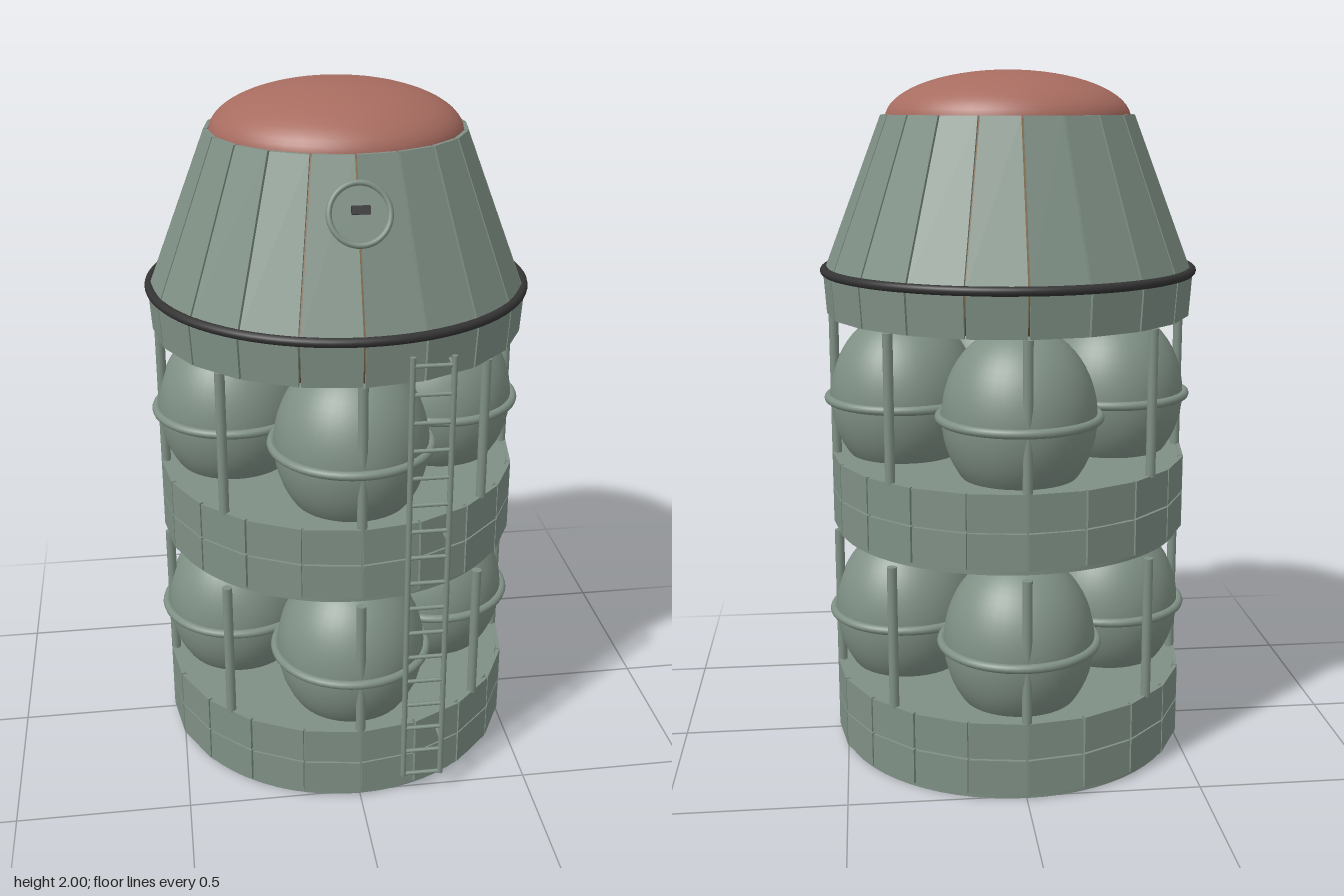
import * as THREE from 'three';

const SIDES = 20;
const STEP = (Math.PI * 2) / SIDES;

function makeMaterial(name, color, extra = {}) {
  const m = new THREE.MeshStandardMaterial({ color, ...extra });
  m.name = name;
  return m;
}

export function createModel() {
  const root = new THREE.Group();
  root.name = 'tankTower';
  const green = makeMaterial('greyGreen', 0x7f9085);
  const red = makeMaterial('domeRed', 0xa86c60);
  const dark = makeMaterial('darkRubber', 0x343434);
  const brown = makeMaterial('brownCore', 0x7d6240, { side: THREE.DoubleSide });

  function add(parent, name, geometry, material, x = 0, y = 0, z = 0) {
    const mesh = new THREE.Mesh(geometry, material);
    mesh.name = name;
    mesh.position.set(x, y, z);
    parent.add(mesh);
    return mesh;
  }
  function group(name, parent = root) {
    const g = new THREE.Group();
    g.name = name;
    parent.add(g);
    return g;
  }

  // A box bent into one flat wall panel between two heights and radii
  function panelGeometry(r0, y0, r1, y1, thickness = 0.012, gap = 0.003) {
    const geo = new THREE.BoxGeometry(1, 1, 1);
    const p = geo.attributes.position;
    for (let i = 0; i < p.count; i++) {
      const top = p.getY(i) > 0;
      const r = (top ? r1 : r0) - (p.getZ(i) > 0 ? 0 : thickness);
      const a = Math.sign(p.getX(i)) * (STEP / 2 - gap / r);
      p.setXYZ(i, r * Math.sin(a), top ? y1 : y0, r * Math.cos(a));
    }
    geo.computeVertexNormals();
    return geo;
  }
  function panelRing(parent, name, ...size) {
    const ring = group(name, parent);
    const geo = panelGeometry(...size);
    for (let i = 0; i < SIDES; i++) {
      add(ring, 'panel', geo, green).rotation.y = (i + 0.5) * STEP;
    }
  }

  // Two identical stages: panelled drum, four tanks, eight posts
  const tankGeo = new THREE.SphereGeometry(0.218, 40, 28).scale(1, 1.175, 1);
  const bandGeo = new THREE.TorusGeometry(0.224, 0.013, 10, 48).rotateX(Math.PI / 2);
  const postGeo = new THREE.CylinderGeometry(0.014, 0.014, 0.42, 12);
  const coreGeo = new THREE.CylinderGeometry(0.513, 0.513, 0.228, 64);

  function buildStage(name, baseY) {
    const stage = group(name);
    stage.position.y = baseY;
    add(stage, 'drumCore', coreGeo, green, 0, 0.114, 0);
    panelRing(stage, 'lowerDrumPanels', 0.528, 0.016, 0.528, 0.119);
    panelRing(stage, 'upperDrumPanels', 0.528, 0.124, 0.528, 0.23);
    for (let i = 0; i < 4; i++) {
      const a = (i * Math.PI) / 2;
      const x = 0.31 * Math.sin(a), z = 0.31 * Math.cos(a);
      add(stage, 'tank', tankGeo, green, x, 0.397, z);
      add(stage, 'tankBand', bandGeo, green, x, 0.397, z);
    }
    for (let i = 0; i < 8; i++) {
      const a = (i * Math.PI) / 4;
      add(stage, 'post', postGeo, green, 0.514 * Math.sin(a), 0.435, 0.514 * Math.cos(a));
    }
  }
  buildStage('lowerStage', 0);
  buildStage('upperStage', 0.66);

  // Conical cabin: brown inner shell seen through the seams, outer panels
  const cabin = group('cabin');
  const profile = [
    [0, 1.315], [0.517, 1.315], [0.524, 1.42], [0.518, 1.44], [0.35, 1.868], [0, 1.868],
  ].map(([x, y]) => new THREE.Vector2(x, y));
  add(cabin, 'cabinCore', new THREE.LatheGeometry(profile, SIDES), brown);
  panelRing(cabin, 'skirtPanels', 0.532, 1.308, 0.54, 1.425);
  panelRing(cabin, 'conePanels', 0.536, 1.435, 0.366, 1.875);
  add(cabin, 'bumperRing',
    new THREE.TorusGeometry(0.536, 0.013, 12, 80).rotateX(Math.PI / 2), dark, 0, 1.435, 0);

  // Flattened dome on top
  const domeGeo = new THREE.SphereGeometry(0.353, 48, 16, 0, Math.PI * 2, 0, Math.PI / 2);
  add(cabin, 'dome', domeGeo.scale(1, 0.136 / 0.353, 1), red, 0, 1.864, 0);

  // Round hatch lying on the front slope
  const hatch = group('hatch');
  hatch.position.set(0, 1.735, 0.42);
  hatch.rotation.x = -Math.atan2(0.17, 0.44);
  add(hatch, 'hatchDisc', new THREE.CylinderGeometry(0.078, 0.078, 0.03, 40).rotateX(Math.PI / 2), green);
  add(hatch, 'hatchRim', new THREE.TorusGeometry(0.079, 0.008, 10, 48), green, 0, 0, 0.014);
  add(hatch, 'handleStem', new THREE.BoxGeometry(0.016, 0.012, 0.024), dark, 0, 0.008, 0.024);
  add(hatch, 'hatchHandle', new THREE.BoxGeometry(0.048, 0.022, 0.012), dark, 0, 0.008, 0.037);

  // Ladder up the front, held off the wall by short brackets
  const ladder = group('ladder');
  const left = 0.126, right = 0.236, ladderZ = 0.53;
  const railGeo = new THREE.CylinderGeometry(0.008, 0.008, 1.32, 10);
  const rungGeo = new THREE.CylinderGeometry(0.006, 0.006, right - left, 8).rotateZ(Math.PI / 2);
  const bracketGeo = new THREE.CylinderGeometry(0.005, 0.005, 0.06, 8).rotateX(Math.PI / 2);
  for (const x of [left, right]) {
    add(ladder, 'rail', railGeo, green, x, 0.725, ladderZ);
    for (const y of [0.18, 0.84, 1.355]) add(ladder, 'bracket', bracketGeo, green, x, y, ladderZ - 0.03);
  }
  for (let i = 0; i < 17; i++) {
    add(ladder, 'rung', rungGeo, green, (left + right) / 2, 0.07 + i * 0.0806, ladderZ);
  }

  return root;
}
